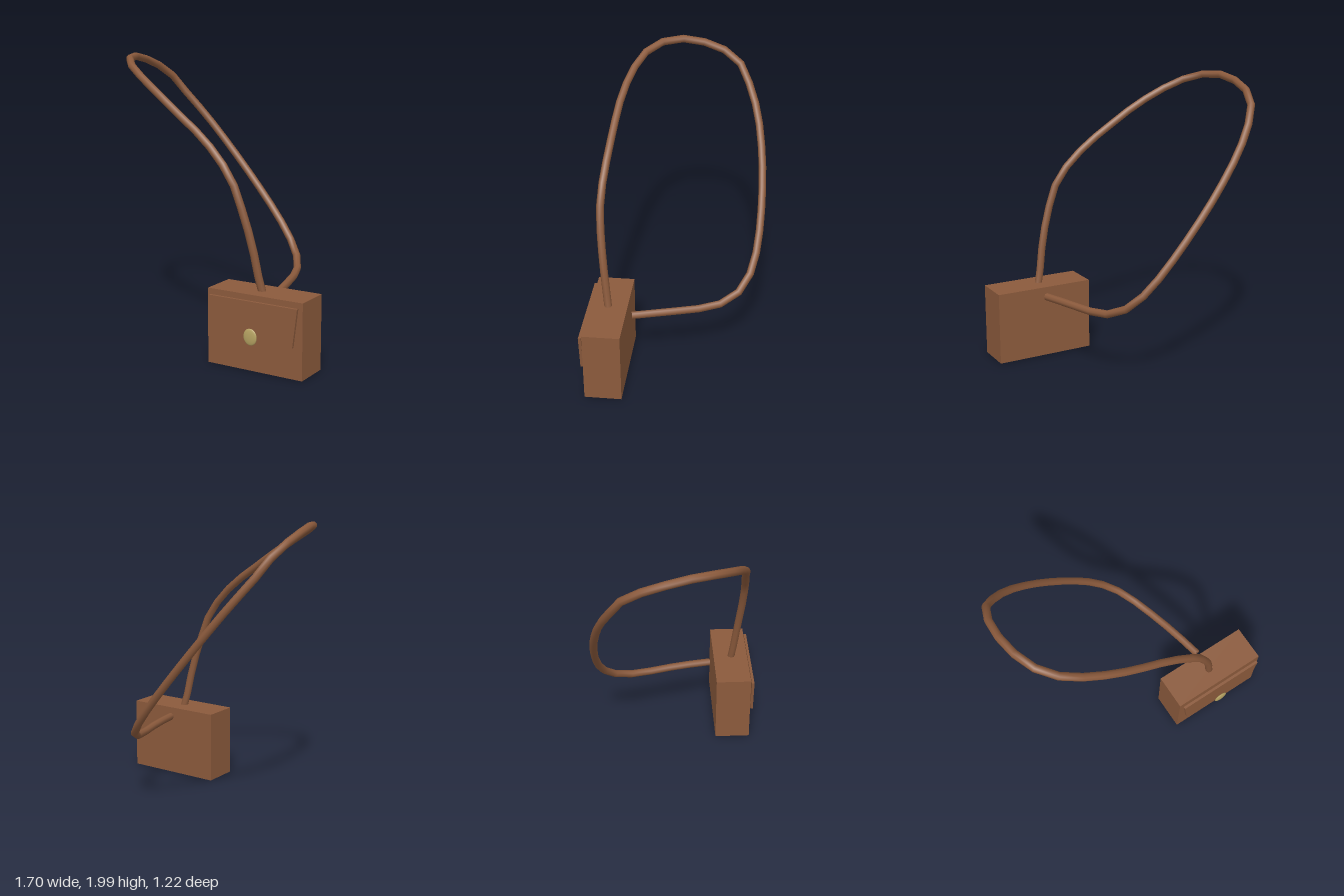
import * as THREE from 'three';

export function createModel() {
  const group = new THREE.Group();
  const leather = new THREE.MeshStandardMaterial({ color: 0x8b5a3c });
  leather.name = 'brown leather';
  const brass = new THREE.MeshStandardMaterial({ color: 0xb5a262 });
  brass.name = 'brass';

  const add = (name, geometry, material, x = 0, y = 0, z = 0) => {
    const mesh = new THREE.Mesh(geometry, material);
    mesh.name = name;
    mesh.position.set(x, y, z);
    group.add(mesh);
    return mesh;
  };

  // Bag body
  add('bagBody', new THREE.BoxGeometry(0.705, 0.51, 0.255), leather, 0.494, 0.255, 0.418);

  // Tapered front flap, standing just off the body
  const flap = new THREE.Shape([
    [-0.295, 0.215], [0.295, 0.215], [0.327, 0.473], [-0.327, 0.473],
  ].map(([x, y]) => new THREE.Vector2(x, y)));
  add('flap', new THREE.ExtrudeGeometry(flap, { depth: 0.019, bevelEnabled: false }),
    leather, 0.494, 0, 0.555);

  // Flattened round clasp
  add('clasp', new THREE.SphereGeometry(1, 16, 12), brass, 0.494, 0.245, 0.595)
    .scale.set(0.05, 0.056, 0.011);

  // Strap: rises from the bag top, loops to the side and returns behind the bag
  const path = new THREE.CatmullRomCurve3([
    [0.495, 0.45, 0.418], [0.47, 0.55, 0.43], [0.42, 0.83, 0.46], [0.34, 1.1, 0.483],
    [0.28, 1.24, 0.485], [0.17, 1.37, 0.475], [0.05, 1.48, 0.46], [-0.15, 1.62, 0.44],
    [-0.32, 1.735, 0.415], [-0.48, 1.83, 0.37], [-0.62, 1.905, 0.31], [-0.735, 1.957, 0.2],
    [-0.8, 1.97, 0.05], [-0.823, 1.945, -0.1], [-0.815, 1.89, -0.26], [-0.77, 1.8, -0.385],
    [-0.7, 1.68, -0.45], [-0.57, 1.51, -0.52], [-0.36, 1.25, -0.57], [-0.15, 1.0, -0.583],
    [0.02, 0.8, -0.572], [0.13, 0.67, -0.545], [0.23, 0.56, -0.487], [0.31, 0.485, -0.375],
    [0.37, 0.46, -0.22], [0.44, 0.457, 0.03], [0.492, 0.448, 0.26],
  ].map((p) => new THREE.Vector3(...p)));
  const radius = 0.027;
  add('strap', new THREE.TubeGeometry(path, 34, radius, 8, false), leather);

  // Flat ends of the strap
  for (const [t, sign] of [[0, -1], [1, 1]]) {
    const p = path.getPointAt(t);
    const cap = add('strapEnd', new THREE.CircleGeometry(radius, 8), leather, p.x, p.y, p.z);
    cap.quaternion.setFromUnitVectors(new THREE.Vector3(0, 0, 1),
      path.getTangentAt(t).multiplyScalar(sign));
  }

  return group;
}
